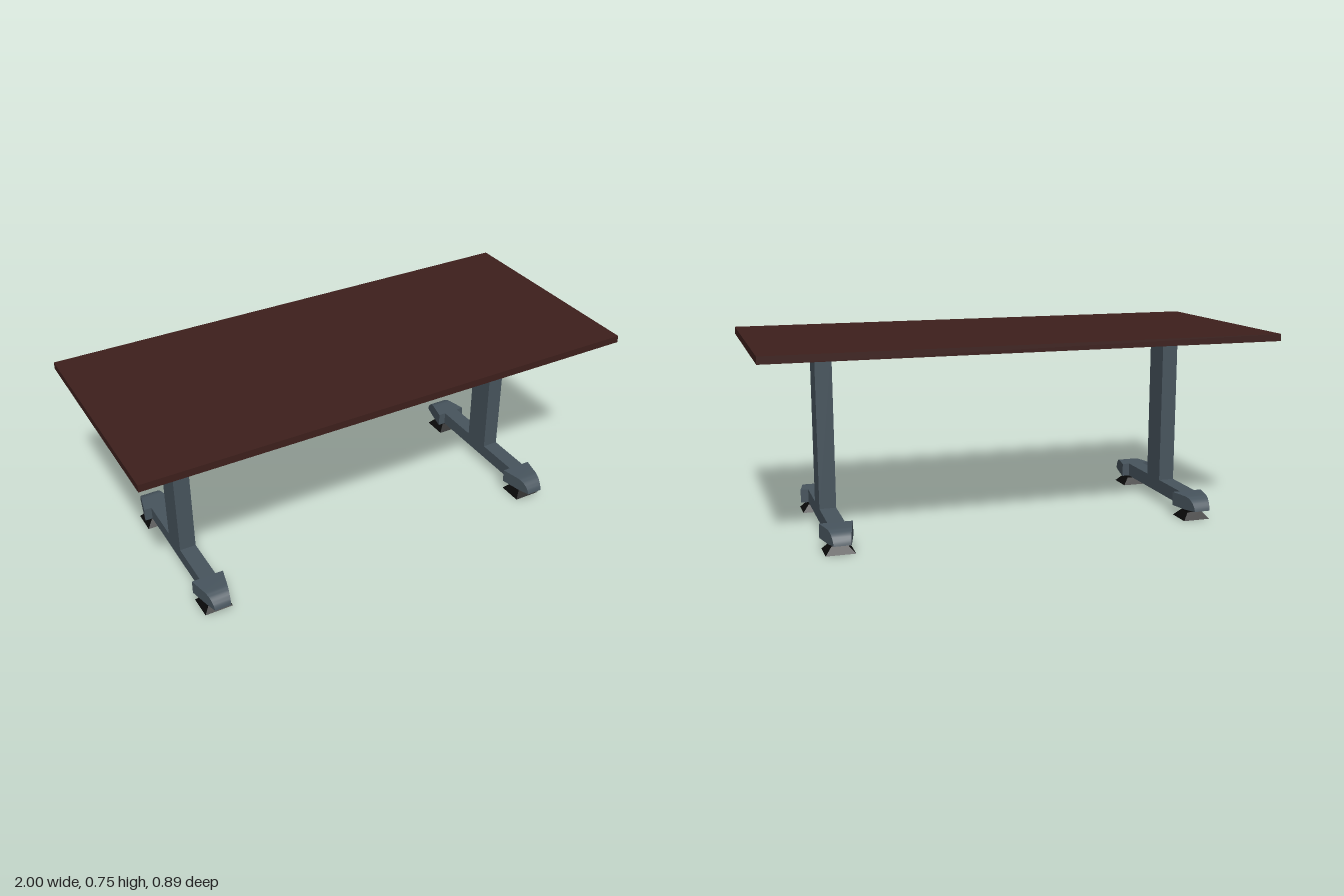
import * as THREE from 'three';
import { toCreasedNormals } from 'three/addons/utils/BufferGeometryUtils.js';

const wood = new THREE.MeshStandardMaterial({ color: 0x3d1f1c });
const steel = new THREE.MeshStandardMaterial({ color: 0x47545d });
const rubber = new THREE.MeshStandardMaterial({ color: 0x090909 });

function part(name, geometry, material, y = 0, z = 0) {
  const mesh = new THREE.Mesh(geometry, material);
  mesh.name = name;
  mesh.position.set(0, y, z);
  return mesh;
}

// Rounded foot end: a side profile extruded across x, narrowing towards its tip
function footEndGeometry() {
  const back = 0.248, tip = 0.385, width = 0.127, tipWidth = 0.065;
  const profile = new THREE.Shape();
  profile.moveTo(back, 0.043);
  profile.lineTo(0.33, 0.043);
  profile.lineTo(tip, 0.048);
  profile.bezierCurveTo(0.38, 0.075, 0.355, 0.098, 0.322, 0.098);
  profile.lineTo(back, 0.098);
  profile.closePath();
  const g = new THREE.ExtrudeGeometry(profile, { depth: width, bevelEnabled: false, curveSegments: 10 });
  g.translate(0, 0, -width / 2);
  g.rotateY(-Math.PI / 2);
  const p = g.attributes.position;
  for (let i = 0; i < p.count; i++) {
    const t = (p.getZ(i) - back) / (tip - back);
    p.setX(i, p.getX(i) * THREE.MathUtils.lerp(1, tipWidth / width, t));
  }
  return toCreasedNormals(g, 0.5);
}

// Four-sided flared pad
function padGeometry() {
  const g = new THREE.CylinderGeometry(0.055 / Math.SQRT2, 0.1 / Math.SQRT2, 0.028, 4).toNonIndexed();
  g.rotateY(Math.PI / 4);
  g.scale(1.12, 1, 1);
  g.computeVertexNormals();
  return g;
}

function createPedestal() {
  const base = new THREE.Group();
  base.add(part('post', new THREE.BoxGeometry(0.065, 0.629, 0.117), steel, 0.4125));
  base.add(part('footBeam', new THREE.BoxGeometry(0.065, 0.055, 0.5), steel, 0.0705));

  // Matching foot ends and pads at front and back
  for (const side of ['front', 'back']) {
    const foot = new THREE.Group();
    foot.name = side + 'Foot';
    foot.add(part('footEnd', footEndGeometry(), steel));
    foot.add(part('padStem', new THREE.BoxGeometry(0.0616, 0.018, 0.055), rubber, 0.036, 0.292));
    foot.add(part('pad', padGeometry(), rubber, 0.014, 0.292));
    if (side === 'back') foot.rotation.y = Math.PI;
    base.add(foot);
  }
  return base;
}

export function createModel() {
  const table = new THREE.Group();
  table.name = 'table';
  table.add(part('tabletop', new THREE.BoxGeometry(2, 0.028, 0.89), wood, 0.741));

  for (const side of [1, -1]) {
    const pedestal = createPedestal();
    pedestal.name = side > 0 ? 'leftPedestal' : 'rightPedestal';
    pedestal.position.x = side * 0.72;
    table.add(pedestal);
  }
  return table;
}
